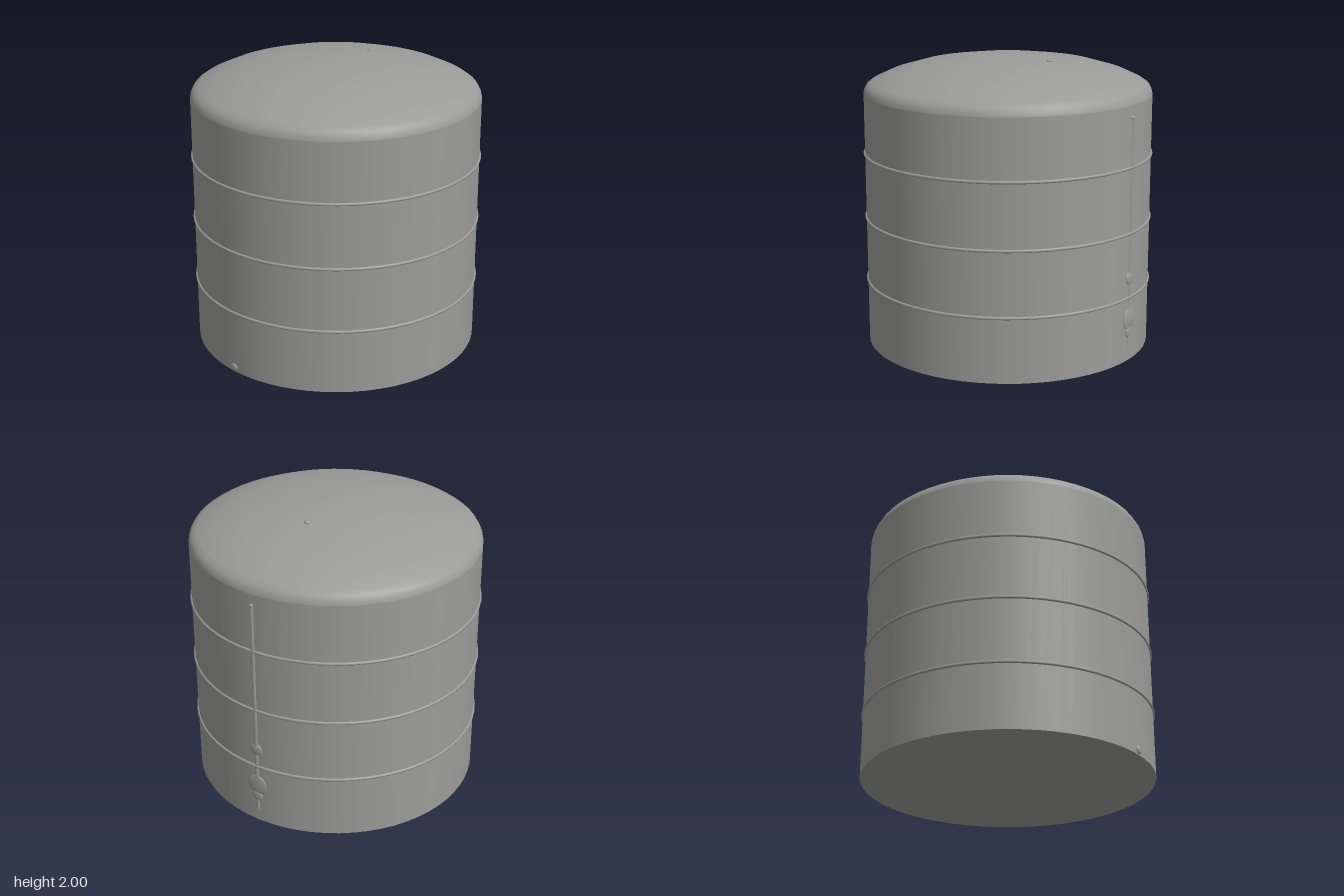
import * as THREE from 'three';

export function createModel() {
  const group = new THREE.Group();
  group.name = 'storageTank';
  const steel = new THREE.MeshStandardMaterial({ color: 0x9b9c99 });
  steel.name = 'grey steel';

  const R = 0.987, SEG = 64;
  const add = (name, geometry, x = 0, y = 0, z = 0) => {
    const mesh = new THREE.Mesh(geometry, steel);
    mesh.name = name;
    mesh.position.set(x, y, z);
    group.add(mesh);
    return mesh;
  };

  // Cylindrical shell and flat floor
  add('tankWall', new THREE.CylinderGeometry(R, R, 1.75, SEG, 1, true), 0, 0.875);
  add('tankFloor', new THREE.CircleGeometry(R, SEG).rotateX(Math.PI / 2));

  // Shallow domed roof with a rounded shoulder
  const roof = [[R, 1.75], [0.982, 1.775], [0.965, 1.805], [0.93, 1.83], [0.81, 1.885],
    [0.61, 1.943], [0.35, 1.982], [0.18, 1.995], [0, 2]];
  add('roof', new THREE.LatheGeometry(roof.map(([x, y]) => new THREE.Vector2(x, y)), SEG));

  // Hoops around the wall
  for (let i = 1; i <= 3; i++) {
    add('hoop' + i, new THREE.TorusGeometry(R, 0.011, 8, SEG).rotateX(Math.PI / 2), 0, 0.446 * i);
  }

  // Vertical level pipe, partly sunk into the wall
  add('levelPipe', new THREE.CylinderGeometry(0.016, 0.016, 1.575, 12), R - 0.007, 0.8825);
  const pipeTop = add('pipeTop', new THREE.SphereGeometry(0.018, 16, 10), R - 0.007, 1.67);
  pipeTop.scale.y = 0.7;

  // Flattened round fittings: [name, x, y, radius]
  const fittings = [
    ['manholeCover', R, 0.295, 0.075],
    ['upperValve', R, 0.582, 0.046],
    ['lowerValve', R, 0.205, 0.041],
    ['drainFitting', -R, 0.033, 0.028],
  ];
  for (const [name, x, y, r] of fittings) {
    add(name, new THREE.SphereGeometry(r, 24, 16), x, y).scale.x = 0.012 / r;
  }

  // Small roof vent
  add('roofVent', new THREE.SphereGeometry(0.023, 20, 12), 0.343, 1.984).scale.y = 0.5;

  return group;
}
